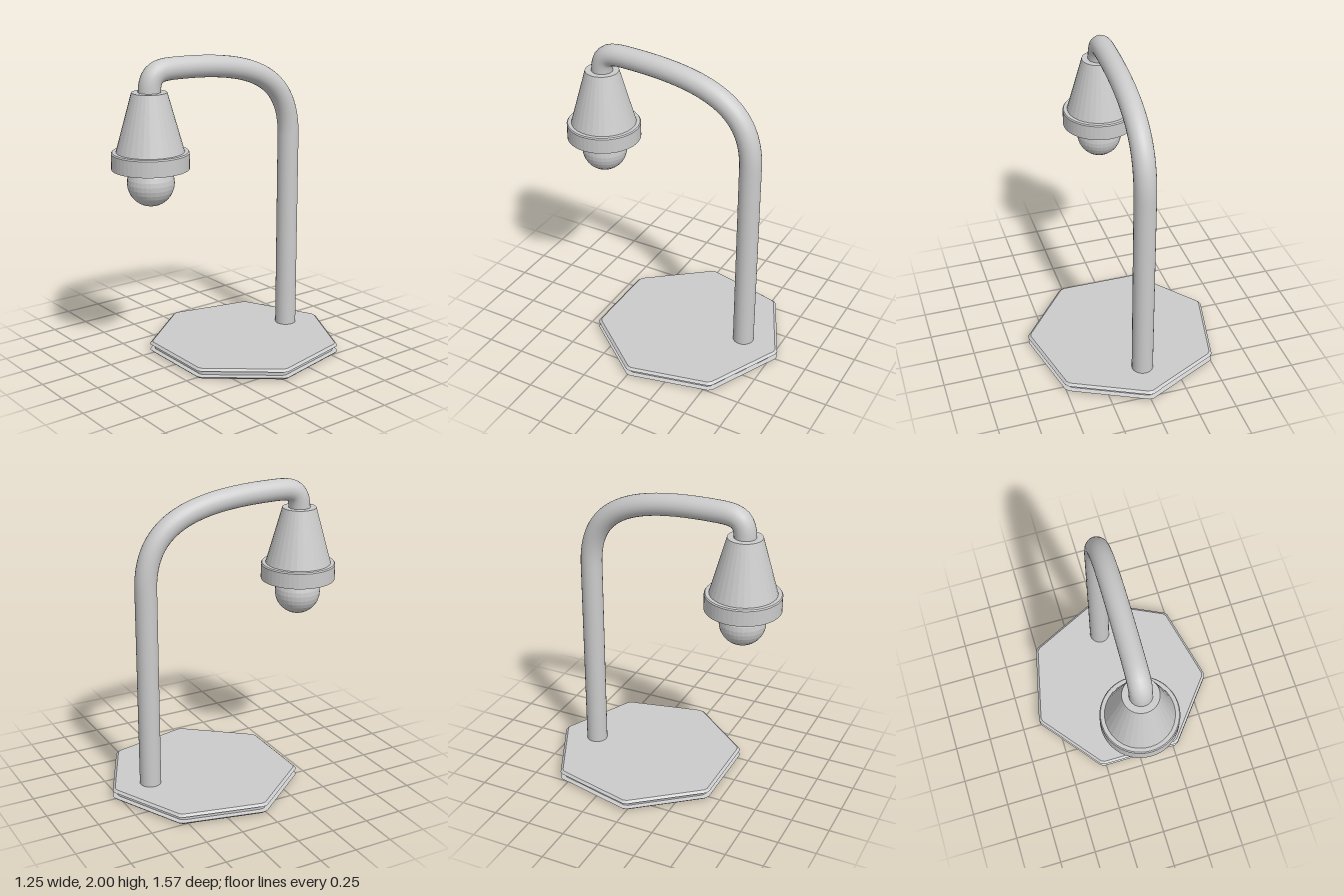
import * as THREE from 'three';
import { toCreasedNormals } from 'three/addons/utils/BufferGeometryUtils.js';

const smooth = new THREE.MeshStandardMaterial({ color: 0xcccccc });
const faceted = new THREE.MeshStandardMaterial({ color: 0xcccccc, flatShading: true });

const v3 = (x, y, z) => new THREE.Vector3(x, y, z);
const LAMP_X = -0.055, LAMP_Z = 0.54;
const POLE_X = -0.02, POLE_Z = -0.535;

function part(name, geometry, material, x = 0, y = 0, z = 0) {
  const mesh = new THREE.Mesh(geometry, material);
  mesh.name = name;
  mesh.position.set(x, y, z);
  return mesh;
}

function lathe(profile, segments) {
  return new THREE.LatheGeometry(profile.map(([r, y]) => new THREE.Vector2(r, y)), segments);
}

// Seven-sided plate with a groove round its edge and clipped corners
function baseGeometry() {
  const profile = [[0, 0], [0.62, 0], [0.638, 0.015], [0.606, 0.021], [0.606, 0.05],
    [0.638, 0.055], [0.62, 0.07], [0, 0.07]];
  const sides = 7, clip = 0.022;
  const geometry = lathe(profile, sides * 2);
  const pos = geometry.attributes.position;
  for (let i = 0; i < pos.count; i++) {
    const step = Math.floor(i / profile.length);
    const r = profile[i % profile.length][0];
    // Pair up the columns either side of each corner
    const corner = Math.floor(step / 2);
    const angle = Math.PI + corner * 2 * Math.PI / sides + (step % 2 ? clip : -clip);
    pos.setXYZ(i, r * Math.sin(angle), pos.getY(i), r * Math.cos(angle));
  }
  return toCreasedNormals(geometry, 0.1);
}

// Upright pole sweeping forward and turning down into the shade
function armGeometry() {
  const xAt = z => THREE.MathUtils.mapLinear(z, POLE_Z, LAMP_Z, POLE_X, LAMP_X);
  const p = (y, z) => v3(xAt(z), y, z);
  const path = new THREE.CurvePath();
  path.add(new THREE.LineCurve3(p(0.03, POLE_Z), p(1.4, POLE_Z)));
  path.add(new THREE.CubicBezierCurve3(p(1.4, POLE_Z), p(1.8, POLE_Z), p(1.93, -0.25), p(1.93, 0.37)));
  path.add(new THREE.CubicBezierCurve3(p(1.93, 0.37), p(1.93, 0.49), p(1.91, LAMP_Z), p(1.78, LAMP_Z)));
  return new THREE.TubeGeometry(path, 110, 0.07, 24);
}

export function createModel() {
  const group = new THREE.Group();

  group.add(part('base', baseGeometry(), smooth, 0, 0, -0.152));
  group.add(part('arm', armGeometry(), smooth));

  const lamp = new THREE.Group();
  lamp.name = 'lampHead';
  lamp.position.set(LAMP_X, 0, LAMP_Z);

  // Conical shade, closed underneath
  lamp.add(part('shade', lathe([[0, 1.42], [0.213, 1.42], [0.213, 1.43], [0.11, 1.8], [0, 1.8]], 32), faceted));
  // Collar hanging below the shade, open at the bottom
  lamp.add(part('collar', lathe([[0.225, 1.42], [0.225, 1.325], [0.242, 1.325], [0.242, 1.425],
    [0.236, 1.433], [0.205, 1.433]], 48), faceted));
  // Bulb and its flared holder
  lamp.add(part('bulbHolder', new THREE.CylinderGeometry(0.075, 0.135, 0.13, 32), faceted, 0, 1.365, 0));
  lamp.add(part('bulb', new THREE.SphereGeometry(0.148, 32, 16), faceted, 0, 1.235, 0));
  group.add(lamp);

  return group;
}
